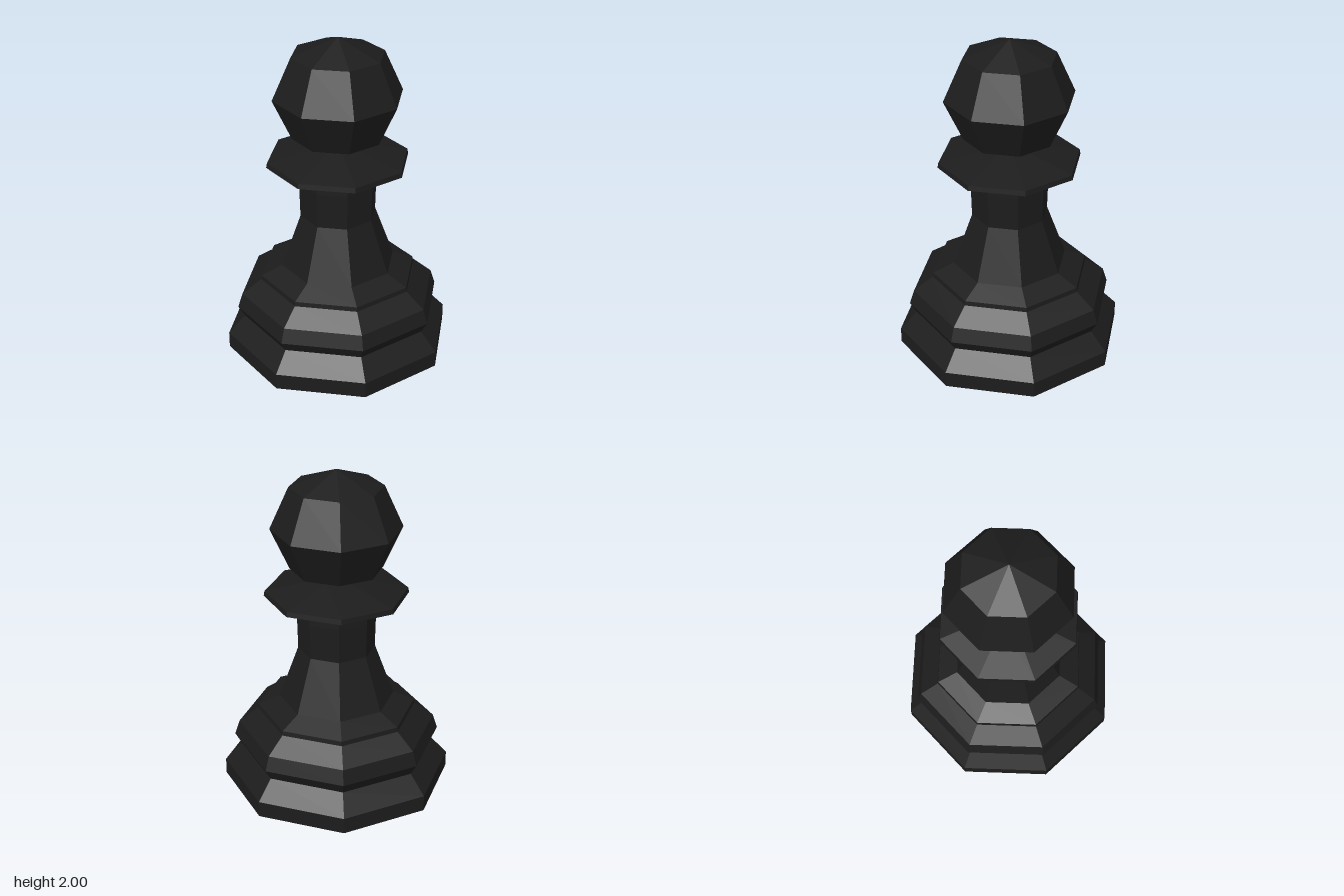
import * as THREE from 'three';

const SIDES = 8;
const TO_CORNER = 1 / Math.cos(Math.PI / SIDES);

export function createModel() {
  const group = new THREE.Group();
  group.name = 'pawn';
  const material = new THREE.MeshStandardMaterial({ color: 0x1c1c1c, flatShading: true });

  // Octagonal turning with flats facing the axes; profile is [flat distance, height], bottom to top
  function turned(name, profile) {
    const points = profile.map(([r, y]) => new THREE.Vector2(r * TO_CORNER, y));
    const geometry = new THREE.LatheGeometry(points, SIDES, Math.PI / SIDES);
    const mesh = new THREE.Mesh(geometry, material);
    mesh.name = name;
    group.add(mesh);
  }

  // Stepped foot
  turned('base', [
    [0, 0], [0.647, 0], [0.647, 0.1], [0.55, 0.215], [0.587, 0.285], [0.56, 0.375],
    [0.45, 0.465], [0.446, 0.493], [0.325, 0.55], [0, 0.55],
  ]);

  // Flared stem
  turned('stem', [[0, 0.55], [0.325, 0.55], [0.215, 0.88], [0.22, 1.1], [0.217, 1.2], [0, 1.2]]);

  // Thin collar under the head
  turned('collar', [[0, 1.185], [0.22, 1.185], [0.4, 1.225], [0.395, 1.255], [0.09, 1.325], [0, 1.345]]);

  // Faceted ball
  turned('head', [[0, 1.29], [0.255, 1.395], [0.36, 1.645], [0.255, 1.897], [0, 2]]);

  return group;
}
